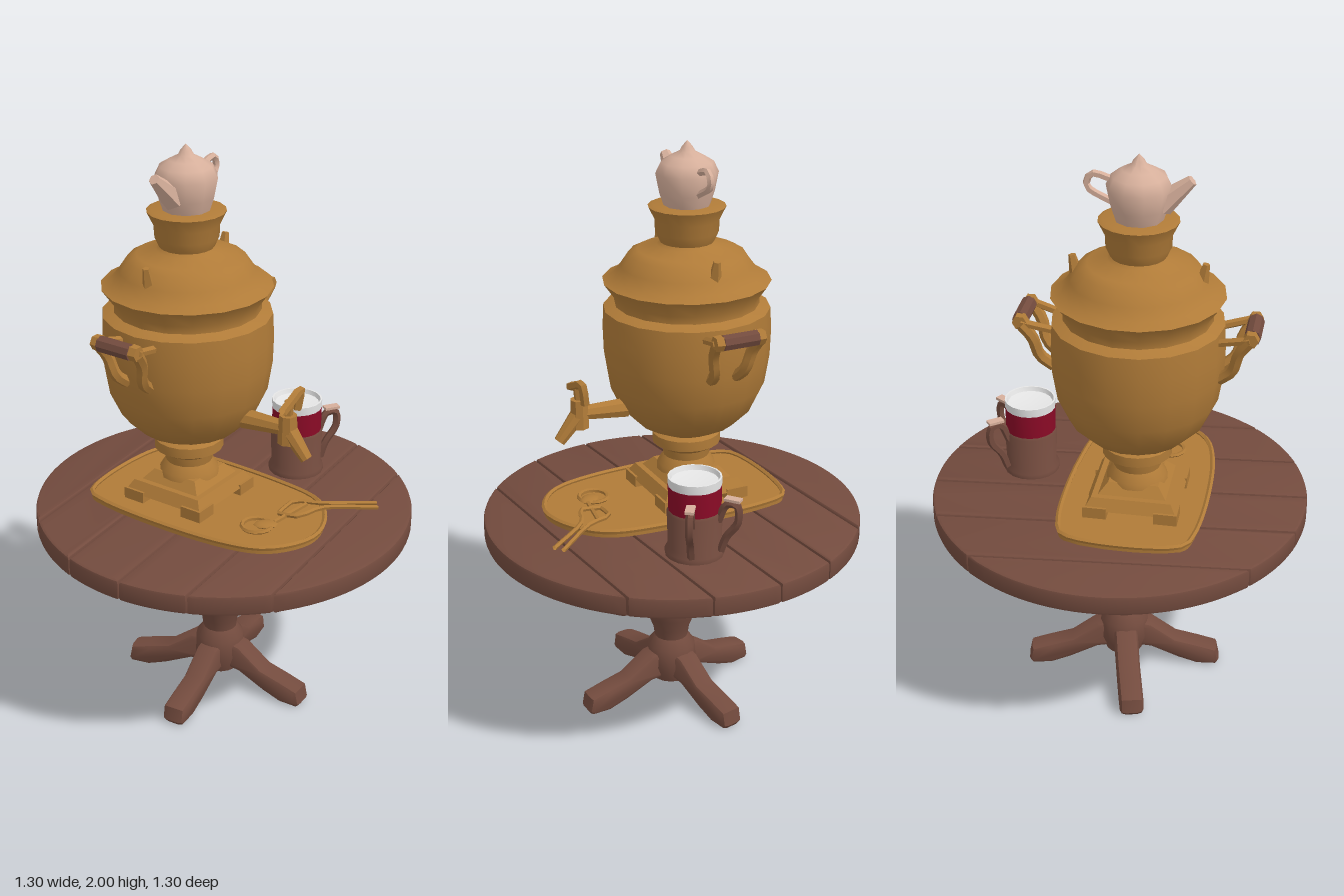
import * as THREE from 'three';
import { toCreasedNormals } from 'three/addons/utils/BufferGeometryUtils.js';

const material = (name, color) => {
  const m = new THREE.MeshStandardMaterial({ color, side: THREE.DoubleSide });
  m.name = name;
  return m;
};
const wood = material('brown wood', 0x734b3e);
const brass = material('brass', 0xb07b38);
const china = material('pale china', 0xd6af9b);
const tea = material('tea red', 0x8a0a26);
const glass = material('white glass', 0xe6e6e6);

const V = (x, y, z) => new THREE.Vector3(x, y, z);

function add(parent, name, geometry, mat, crease = 0.7) {
  const mesh = new THREE.Mesh(toCreasedNormals(geometry, crease), mat);
  mesh.name = name;
  parent.add(mesh);
  return mesh;
}
function group(parent, name, x = 0, y = 0, z = 0, turn = 0) {
  const g = new THREE.Group();
  g.name = name;
  g.position.set(x, y, z);
  g.rotation.y = turn;
  parent.add(g);
  return g;
}
const lathe = (points, sides) =>
  new THREE.LatheGeometry(points.map(([r, y]) => new THREE.Vector2(r, y)), sides);

const tube = (points, radius, steps = 10, sides = 6) =>
  new THREE.TubeGeometry(new THREE.CatmullRomCurve3(points), steps, radius, sides);

// tapered rod between two points
function rod(a, b, ra, rb, sides = 6) {
  const dir = b.clone().sub(a);
  const g = new THREE.CylinderGeometry(rb, ra, dir.length(), sides);
  g.applyQuaternion(new THREE.Quaternion().setFromUnitVectors(V(0, 1, 0), dir.normalize()));
  const mid = a.clone().add(b).multiplyScalar(0.5);
  return g.translate(mid.x, mid.y, mid.z);
}
// square slab that tapers upward
function squareSlab(halfLow, halfTop, y0, y1) {
  const g = new THREE.CylinderGeometry(halfTop * Math.SQRT2, halfLow * Math.SQRT2, y1 - y0, 4);
  return g.rotateY(Math.PI / 4).translate(0, (y0 + y1) / 2, 0);
}

function buildTable(root) {
  const table = group(root, 'table');
  // round top: solid core with separate planks
  add(table, 'tableCore', new THREE.CylinderGeometry(0.638, 0.635, 0.065, 48).translate(0, 0.692, 0), wood);
  const R = 0.652;
  const cuts = [-R, -0.46, -0.23, -0.01, 0.22, 0.45, R];
  const planks = group(table, 'planks', 0, 0, 0, -0.6);
  for (let i = 0; i < cuts.length - 1; i++) {
    const a = cuts[i] + (i ? 0.003 : 0), b = cuts[i + 1] - (i < 5 ? 0.003 : 0);
    const t0 = Math.acos(a / R), t1 = Math.acos(b / R), pts = [];
    for (let k = 0; k <= 12; k++) {
      const t = t0 + ((t1 - t0) * k) / 12;
      pts.push(new THREE.Vector2(R * Math.cos(t), R * Math.sin(t)));
    }
    const mirrored = pts.map((p) => new THREE.Vector2(p.x, -p.y)).reverse();
    const g = new THREE.ExtrudeGeometry(new THREE.Shape([...pts, ...mirrored]), {
      depth: 0.05, bevelThickness: 0.011, bevelSize: 0.009, bevelOffset: -0.009, bevelSegments: 2,
    });
    add(planks, 'plank', g.rotateX(-Math.PI / 2).translate(0, 0.675, 0), wood);
  }
  // turned column
  const base = group(table, 'pedestal', -0.015, 0, 0.01);
  add(base, 'column', lathe([[0, 0.06], [0.07, 0.06], [0.09, 0.12], [0.085, 0.19], [0.06, 0.225], [0.065, 0.26],
    [0.085, 0.31], [0.097, 0.37], [0.095, 0.43], [0.08, 0.49], [0.074, 0.52], [0.09, 0.545], [0.09, 0.57],
    [0.1, 0.61], [0.115, 0.65], [0.115, 0.67]], 16), wood);
  // four splayed feet
  const side = new THREE.Shape([[0, 0.19], [0.1, 0.17], [0.19, 0.105], [0.27, 0.085], [0.34, 0.065], [0.35, 0.015],
    [0.34, 0.001], [0.27, 0.001], [0.2, 0.025], [0.1, 0.07], [0, 0.08]].map(([x, y]) => new THREE.Vector2(x, y)));
  for (const degrees of [36, 123, 205, 297]) {
    const g = new THREE.ExtrudeGeometry(side, {
      depth: 0.04, bevelThickness: 0.022, bevelSize: 0.015, bevelOffset: -0.015, bevelSegments: 2,
    });
    g.translate(0, 0, -0.02).rotateY(-THREE.MathUtils.degToRad(degrees));
    add(base, 'foot', g, wood);
  }
}

function buildUrn(root) {
  // local +x is the tap side, local z the handle axis
  const urn = group(root, 'urn', -0.12, 0, 0, -0.69);

  // tray with raised rim
  const outline = new THREE.CatmullRomCurve3([V(-0.28, 0, 0.19), V(-0.28, 0, -0.2), V(-0.2, 0, -0.235),
    V(0.2, 0, -0.24), V(0.4, 0, -0.2), V(0.5, 0, -0.08), V(0.52, 0, 0.04), V(0.44, 0, 0.17),
    V(0.28, 0, 0.225), V(-0.2, 0, 0.225)], true, 'centripetal');
  const flat = new THREE.Shape(outline.getPoints(50).map((p) => new THREE.Vector2(p.x, -p.z)));
  add(urn, 'tray', new THREE.ExtrudeGeometry(flat, { depth: 0.018, bevelEnabled: false })
    .rotateX(-Math.PI / 2).translate(0, 0.744, 0), brass);
  add(urn, 'trayRim', new THREE.TubeGeometry(outline, 60, 0.009, 5, true).translate(0, 0.766, 0), brass);

  // square foot
  for (const x of [-1, 1]) for (const z of [-1, 1]) {
    add(urn, 'footPad', new THREE.BoxGeometry(0.08, 0.04, 0.08).translate(x * 0.12, 0.782, z * 0.12), brass);
  }
  add(urn, 'footSlab', squareSlab(0.158, 0.135, 0.79, 0.83), brass);
  add(urn, 'footCap', squareSlab(0.115, 0.085, 0.83, 0.865), brass);

  // body, lid and chimney in one turned profile
  add(urn, 'body', lathe([[0.105, 0.85], [0.1, 0.87], [0.08, 0.9], [0.085, 0.93], [0.118, 0.95], [0.118, 0.985],
    [0.1, 0.995], [0.17, 1.03], [0.23, 1.09], [0.267, 1.17], [0.283, 1.27], [0.286, 1.36], [0.282, 1.44],
    [0.245, 1.455], [0.245, 1.48], [0.284, 1.535], [0.25, 1.55], [0.222, 1.585], [0.195, 1.625], [0.165, 1.64],
    [0.1, 1.655], [0.09, 1.665], [0.106, 1.7], [0.108, 1.74], [0.13, 1.785], [0.115, 1.79], [0, 1.785]], 18), brass);

  for (const s of [-1, 1]) {
    // side handle: two brass arms and a wooden grip
    const handle = group(urn, 'sideHandle', 0, 0, 0, s > 0 ? 0 : Math.PI);
    for (const x of [-1, 1]) {
      add(handle, 'handleArm', tube([V(x * 0.045, 1.27, 0.27), V(x * 0.055, 1.31, 0.315),
        V(x * 0.07, 1.38, 0.335), V(x * 0.08, 1.43, 0.37)], 0.02, 8), brass);
      add(handle, 'handleLug', rod(V(x * 0.065, 1.41, 0.27), V(x * 0.08, 1.435, 0.37), 0.014, 0.014), brass);
      add(handle, 'gripCollar', rod(V(x * 0.06, 1.435, 0.372), V(x * 0.088, 1.435, 0.372), 0.027, 0.025), brass);
    }
    add(handle, 'grip', rod(V(-0.062, 1.435, 0.375), V(0.062, 1.435, 0.375), 0.027, 0.027, 8), wood);
    // small lid tab
    add(handle, 'lidTab', rod(V(0, 1.58, 0.2), V(0, 1.65, 0.215), 0.024, 0.012, 5), brass);
  }

  // tap
  const tap = group(urn, 'tap');
  add(tap, 'tapPipe', rod(V(0.23, 1.11, 0), V(0.41, 1.12, 0), 0.035, 0.024, 8), brass);
  add(tap, 'tapBarrel', rod(V(0.4, 1.07, 0), V(0.4, 1.17, 0), 0.034, 0.03, 8), brass);
  add(tap, 'tapSpout', rod(V(0.4, 1.12, 0), V(0.475, 1.03, 0), 0.03, 0.02, 8), brass);
  add(tap, 'tapStem', rod(V(0.4, 1.17, 0), V(0.405, 1.22, 0), 0.016, 0.016), brass);
  add(tap, 'tapKey', tube([V(0.4, 1.17, -0.055), V(0.41, 1.24, -0.055), V(0.41, 1.22, 0),
    V(0.41, 1.2, 0.05)], 0.016, 8, 5), brass);

  // teapot on the chimney
  const pot = group(urn, 'teapot');
  add(pot, 'potBody', lathe([[0, 1.787], [0.078, 1.788], [0.092, 1.83], [0.105, 1.895], [0.088, 1.93],
    [0.055, 1.95], [0.026, 1.965], [0.018, 1.98], [0, 2]], 10), china, 0.9);
  add(pot, 'potSpout', rod(V(0, 1.84, 0.07), V(0, 1.925, 0.165), 0.042, 0.018), china);
  add(pot, 'potHandle', tube([V(0, 1.91, -0.08), V(0, 1.925, -0.15), V(0, 1.885, -0.165),
    V(0, 1.835, -0.08)], 0.012, 10, 5), china);
}

function buildUtensils(root) {
  const set = group(root, 'utensils');
  // tongs reaching past the tray
  for (const [z0, z1] of [[0.13, 0.155], [0.235, 0.188]]) {
    add(set, 'tongArm', tube([V(0.17, 0.772, 0.19), V(0.23, 0.782, z0), V(0.32, 0.785, z1),
      V(0.51, 0.778, z1)], 0.008, 10, 5), brass);
  }
  // small ring and spoon lying on the tray
  add(set, 'ring', new THREE.TorusGeometry(0.05, 0.008, 5, 14).rotateX(Math.PI / 2).translate(0.09, 0.767, 0.26), brass);
  add(set, 'spoonBowl', new THREE.SphereGeometry(0.03, 8, 6).scale(1.4, 0.3, 1).translate(0.12, 0.77, 0.26), brass);
  add(set, 'spoonStem', rod(V(0.15, 0.77, 0.25), V(0.27, 0.78, 0.15), 0.008, 0.008, 5), brass);
}

function buildGlass(root) {
  const cup = group(root, 'teaGlass', 0.275, 0, -0.205);
  add(cup, 'holder', lathe([[0, 0.738], [0.098, 0.738], [0.098, 0.755], [0.088, 0.77], [0.092, 0.89], [0.086, 0.9]], 18), wood);
  add(cup, 'teaBand', lathe([[0.087, 0.885], [0.088, 0.983]], 18), tea);
  add(cup, 'glassRim', lathe([[0.088, 0.983], [0.089, 1.013], [0.083, 1.013], [0.078, 0.998], [0, 0.99]], 18), glass);
  // two looped handles with pale thumb rests
  for (const turn of [0.3, 1.55]) {
    const handle = group(cup, 'glassHandle', 0, 0, 0, turn);
    add(handle, 'loop', tube([V(0.085, 0.87, 0), V(0.115, 0.935, 0), V(0.15, 0.935, 0),
      V(0.155, 0.88, 0), V(0.115, 0.82, 0), V(0.095, 0.765, 0)], 0.014, 16, 5), wood);
    add(handle, 'thumbRest', new THREE.BoxGeometry(0.055, 0.009, 0.03).translate(0.135, 0.955, 0), china);
  }
}

export function createModel() {
  const model = new THREE.Group();
  model.name = 'teaTable';
  buildTable(model);
  buildUrn(model);
  buildUtensils(model);
  buildGlass(model);
  return model;
}
